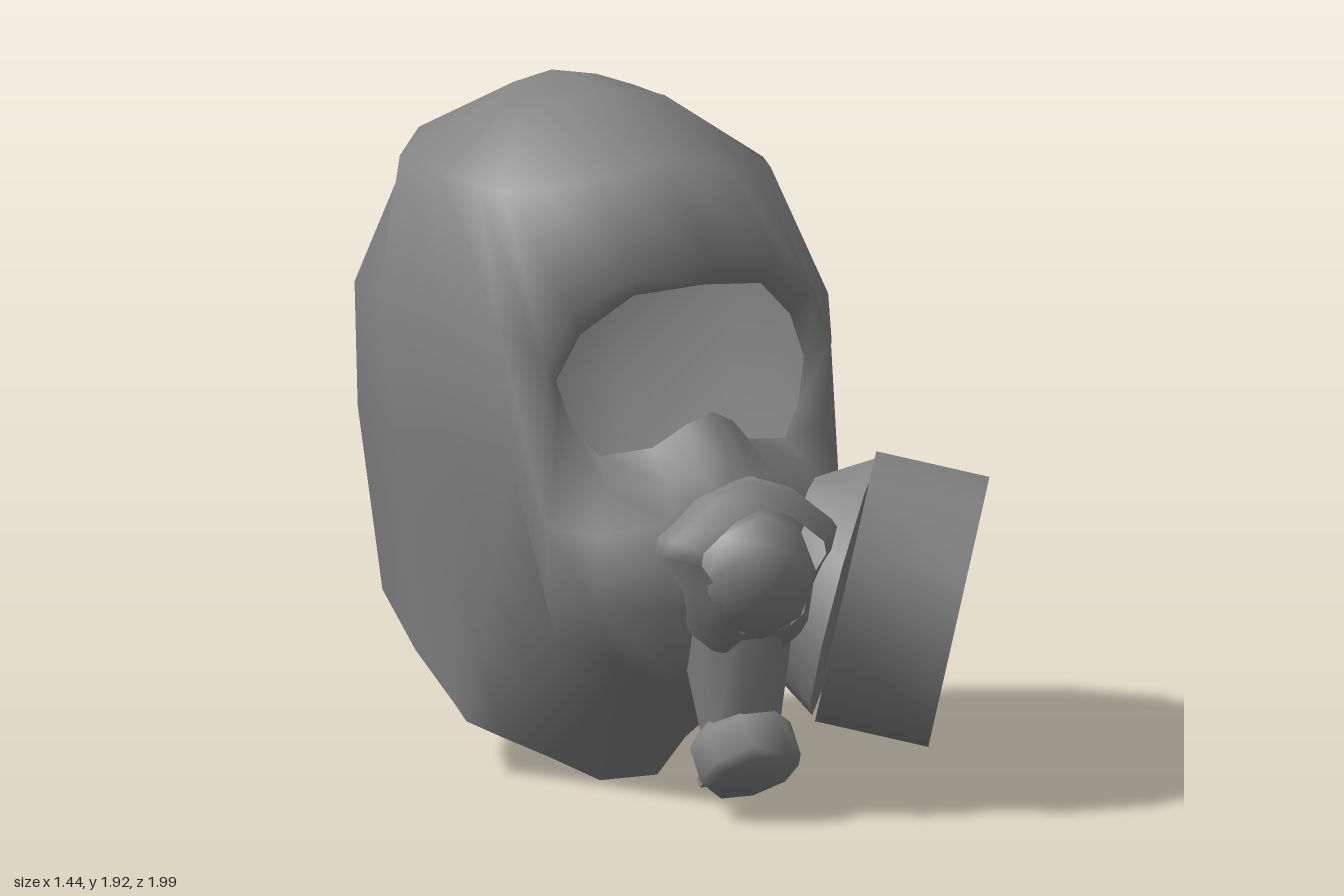
import * as THREE from 'three';
import { mergeGeometries, toCreasedNormals } from 'three/addons/utils/BufferGeometryUtils.js';

const CX = -0.147; // middle of the head

const mat = new THREE.MeshStandardMaterial({ color: 0x848484, side: THREE.DoubleSide });

function add(parent, name, geo, crease = 0.9) {
  const mesh = new THREE.Mesh(toCreasedNormals(geo, crease), mat);
  mesh.name = name;
  parent.add(mesh);
}

// Skin between neighbouring columns of points, columns left to right, points downwards
function skin(cols) {
  const pos = [];
  const tri = (a, b, c) => {
    const [A, B, C] = [a, b, c].map((p) => new THREE.Vector3(...p));
    if (B.sub(A).cross(C.sub(A)).length() > 1e-7) pos.push(...a, ...b, ...c);
  };
  for (let i = 0; i < cols.length - 1; i++) {
    const l = cols[i], r = cols[i + 1];
    for (let j = 0; j < l.length - 1; j++) {
      tri(l[j], l[j + 1], r[j + 1]);
      tri(l[j], r[j + 1], r[j]);
    }
  }
  const g = new THREE.BufferGeometry();
  g.setAttribute('position', new THREE.Float32BufferAttribute(pos, 3));
  return g;
}

const flip = (col) => col.map(([x, y, z]) => [-x, y, z]);
// Columns run from the centre outwards; the other half is mirrored
const mirrored = (cols) => [...cols.slice(1).reverse().map(flip), ...cols];
const mix = (a, b, t) => a.map((v, i) => v + (b[i] - v) * t);

// Cylinder with its ends at two points
function rod(a, b, ra, rb, sides) {
  const A = new THREE.Vector3(...a), B = new THREE.Vector3(...b);
  const d = B.clone().sub(A);
  const g = new THREE.CylinderGeometry(rb, ra, d.length(), sides).rotateY(Math.PI / sides);
  g.applyQuaternion(new THREE.Quaternion().setFromUnitVectors(new THREE.Vector3(0, 1, 0), d.normalize()));
  return g.translate(...A.add(B).multiplyScalar(0.5).toArray());
}

export function createModel() {
  const group = new THREE.Group();
  const head = new THREE.Group();
  head.name = 'head';
  head.position.x = CX;
  group.add(head);

  // Hood: brow columns end at the window, side and back columns at the open neck
  const crown = [0, 1.92, -0.3];
  const brow = [
    [crown, [0, 1.92, -0.13], [0, 1.77, 0.21], [0, 1.53, 0.48], [0, 1.46, 0.42]],
    [crown, [0.12, 1.9, -0.15], [0.2, 1.735, 0.18], [0.22, 1.5, 0.43], [0.2, 1.44, 0.38]],
    [crown, [0.19, 1.88, -0.19], [0.34, 1.7, 0.1], [0.38, 1.4, 0.36], [0.33, 1.33, 0.31]],
    [crown, [0.22, 1.87, -0.22], [0.42, 1.69, 0.03], [0.45, 1.25, 0.33], [0.39, 1.2, 0.28]],
  ];
  const sides = [
    [crown, [0.23, 1.865, -0.25], [0.45, 1.7, -0.07], [0.52, 1.35, 0.18], [0.485, 0.95, 0.2], [0.375, 0.15, -0.27]],
    [crown, [0.24, 1.86, -0.3], [0.47, 1.71, -0.25], [0.56, 1.35, -0.1], [0.515, 0.95, -0.1], [0.38, 0.19, -0.33]],
    [crown, [0.22, 1.87, -0.4], [0.45, 1.71, -0.52], [0.57, 1.35, -0.42], [0.52, 0.95, -0.42], [0.395, 0.31, -0.53]],
    [crown, [0.13, 1.9, -0.45], [0.25, 1.73, -0.78], [0.42, 1.3, -0.84], [0.41, 0.95, -0.84], [0.37, 0.44, -0.77]],
    [crown, [0, 1.92, -0.47], [0, 1.75, -0.84], [0, 1.3, -1], [0, 0.95, -1], [0, 0.49, -1]],
  ];
  for (const c of sides) c.splice(5, 0, mix(c[4], c[5], 0.42), mix(c[4], c[5], 0.72));
  const joint = [brow[3].slice(0, 4), sides[0].slice(0, 4)];

  // Facepiece: from the lower window edge over the cheeks to the neck apron
  const face = [
    [[0, 1.11, 0.47], [0, 0.97, 0.57], [0, 0.85, 0.65], [0, 0.6, 0.68], [0, 0.36, 0.56], [0, 0.27, 0.33], [0, 0, -0.02]],
    [[0.075, 1.075, 0.45], [0.08, 0.95, 0.56], [0.1, 0.85, 0.65], [0.11, 0.6, 0.68], [0.08, 0.36, 0.55], [0.05, 0.27, 0.32], [0.045, 0, -0.02]],
    [[0.15, 1.01, 0.4], [0.17, 0.92, 0.53], [0.2, 0.84, 0.62], [0.22, 0.6, 0.65], [0.15, 0.37, 0.53], [0.1, 0.27, 0.3], [0.09, 0, -0.02]],
    [[0.29, 0.99, 0.35], [0.32, 0.92, 0.44], [0.38, 0.8, 0.51], [0.4, 0.6, 0.53], [0.28, 0.42, 0.44], [0.22, 0.27, 0.22], [0.2, 0.06, -0.11]],
    [[0.355, 1.07, 0.31], [0.42, 1.02, 0.34], [0.46, 0.8, 0.36], [0.465, 0.6, 0.36], [0.385, 0.46, 0.28], [0.33, 0.28, 0.06], [0.3, 0.11, -0.2]],
    [brow[3][4], ...[brow[3][3], ...sides[0].slice(3)]],
  ];
  add(head, 'hoodAndFacepiece', mergeGeometries([
    skin(mirrored(brow)),
    skin(joint),
    skin(joint.map(flip).reverse()),
    skin([...sides, ...sides.slice(0, -1).reverse().map(flip)]),
    skin(mirrored(face)),
  ]), 2.4);

  // Winged collar around the front valve: the outline swells to a rim, then closes in on the valve
  const half = [[0, 0.965], [0.13, 0.92], [0.27, 0.81], [0.28, 0.76], [0.2, 0.65], [0.18, 0.53], [0.1, 0.47]];
  const outline = [...half, ...half.slice(1).reverse().map(([x, y]) => [-x, y]), half[0]];
  const rims = [[0.85, 0.56], [1, 0.69], [0.95, 0.72], [0.7, 0.77]];
  const collar = skin(outline.map(([x, y]) => rims.map(([s, z]) => [x * s, 0.7 + (y - 0.7) * s, z])));
  add(head, 'valveCollar', collar, 1.2);

  // Round valve housing
  const ball = new THREE.SphereGeometry(0.2, 8, 6);
  ball.rotateX(Math.PI / 2).translate(0, 0.69, 0.655);
  add(head, 'valveHousing', ball, 1.2);

  // Outlet under the valve with a tilted cap and a small tab
  add(head, 'outletTube', rod([0, 0.58, 0.6], [0, 0.24, 0.63], 0.17, 0.11, 8));
  const cap = new THREE.LatheGeometry(
    [[0, 0], [0.13, 0], [0.145, 0.03], [0.145, 0.13], [0.11, 0.17], [0, 0.17]].map((p) => new THREE.Vector2(...p)), 8);
  cap.rotateY(Math.PI / 8).rotateX(-0.64).translate(0, 0.12, 0.71);
  add(head, 'outletCap', cap, 1.2);
  const tab = new THREE.BoxGeometry(0.12, 0.03, 0.1);
  add(head, 'outletTab', tab.rotateX(-0.64).translate(0, 0.105, 0.54));

  // Filter canister on the left cheek with its flared connector
  const inner = [0.25, 0.59, 0.51], outer = [0.52, 0.52, 0.67];
  add(group, 'filterCanister', rod(inner, outer, 0.385, 0.385, 10));
  add(group, 'filterConnector', rod([0.12, 0.63, 0.42], inner, 0.27, 0.375, 10));

  return group;
}
